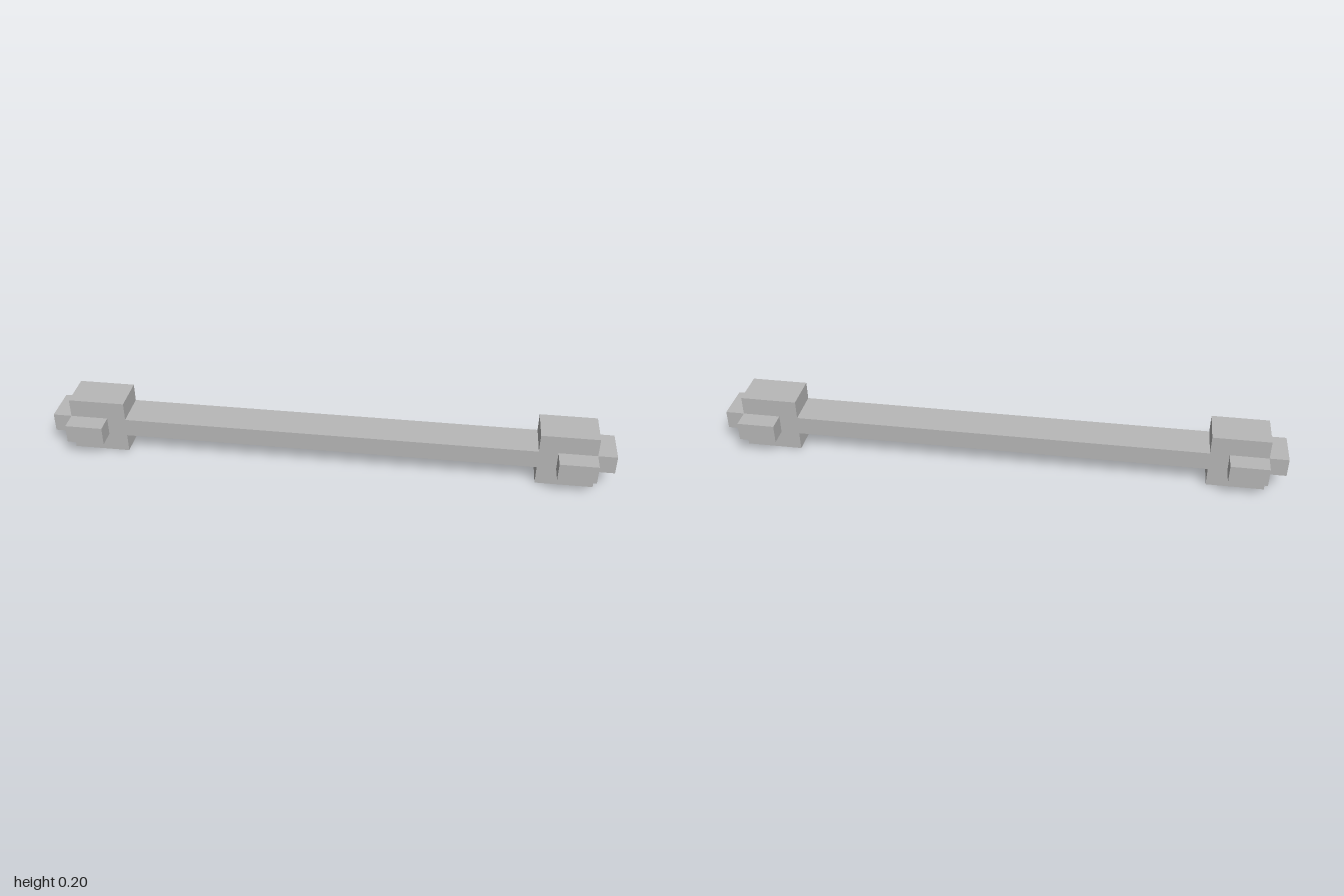
import * as THREE from 'three';

const U = 1 / 15; // module size all parts are built on

export function createModel() {
  const model = new THREE.Group();
  model.name = 'bar';
  const grey = new THREE.MeshStandardMaterial({ color: 0xb8b8b8 });
  grey.name = 'grey';

  // Box sized and placed in module units
  const box = (parent, name, w, h, d, x, y, z) => {
    const mesh = new THREE.Mesh(new THREE.BoxGeometry(w * U, h * U, d * U), grey);
    mesh.name = name;
    mesh.position.set(x * U, y * U, z * U);
    parent.add(mesh);
  };

  // Long flat beam between the two end blocks
  box(model, 'beam', 22, 1, 2, 0, 1.5, 0);

  for (const s of [1, -1]) {
    const end = new THREE.Group();
    end.name = s > 0 ? 'leftEnd' : 'rightEnd';
    box(end, 'endBlock', 3, 3, 2, s * 12.5, 1.5, 0);
    // Tab on the outer face
    box(end, 'endTab', 1, 1, 2, s * 14.5, 1.5, 0);
    // Tabs on the front and back, flush with the outer face
    box(end, 'frontTab', 2, 1, 1, s * 13, 1.5, 1.5);
    box(end, 'backTab', 2, 1, 1, s * 13, 1.5, -1.5);
    model.add(end);
  }
  return model;
}
